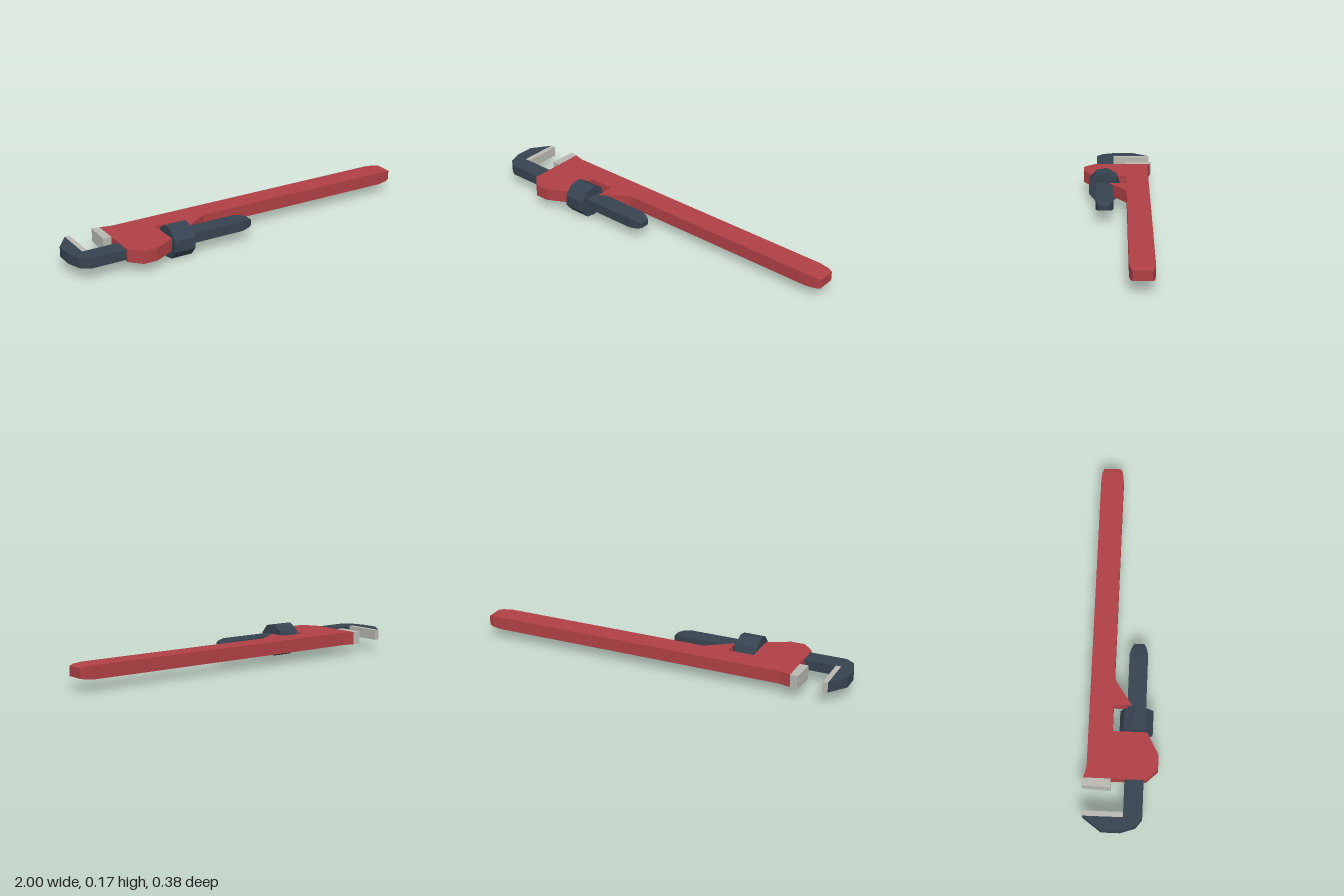
import * as THREE from 'three';

const material = (name, color) => {
  const m = new THREE.MeshStandardMaterial({ color, flatShading: true });
  m.name = name;
  return m;
};

// Flat plate from an [x, z] outline, between heights y0 and y1
function plate(points, y0, y1) {
  const shape = new THREE.Shape(points.map(([x, z]) => new THREE.Vector2(x, -z)));
  const geo = new THREE.ExtrudeGeometry(shape, { depth: y1 - y0, bevelEnabled: false });
  return geo.rotateX(-Math.PI / 2).translate(0, y0, 0);
}

// Tapering bar through rectangular sections [x, zMin, zMax, yMin, yMax]
function taperedBar(sections) {
  const n = sections.length - 1;
  const geo = new THREE.BoxGeometry(n, 1, 1, n, 1, 1);
  const p = geo.attributes.position;
  for (let i = 0; i < p.count; i++) {
    const [x, z0, z1, y0, y1] = sections[Math.round(p.getX(i) + n / 2)];
    p.setXYZ(i, x, p.getY(i) > 0 ? y1 : y0, p.getZ(i) > 0 ? z1 : z0);
  }
  geo.computeVertexNormals();
  return geo;
}

export function createModel() {
  const red = material('red paint', 0xb04045);
  const dark = material('dark steel', 0x364350);
  const grey = material('bare steel', 0xb8b8b0);
  const wrench = new THREE.Group();
  wrench.name = 'pipeWrench';
  const add = (name, geo, mat) => {
    const mesh = new THREE.Mesh(geo, mat);
    mesh.name = name;
    wrench.add(mesh);
    return mesh;
  };

  // Head, knurl slot and straight handle
  add('body', plate([
    [-0.737, -0.185], [-0.68, -0.17], [0.92, -0.17], [0.92, -0.047],
    [-0.21, -0.047], [-0.35, 0.046], [-0.35, -0.047], [-0.49, -0.047],
    [-0.49, 0.128], [-0.605, 0.19], [-0.68, 0.19], [-0.737, 0.13],
  ], 0.058, 0.126), red);

  // Tapered handle end
  add('handleTip', taperedBar([
    [0.92, -0.17, -0.047, 0.058, 0.126],
    [0.975, -0.165, -0.054, 0.062, 0.122],
    [1.0, -0.155, -0.064, 0.067, 0.117],
  ]), red);

  // Fixed tooth plate, its underside dropping towards the throat
  const tooth = plate([
    [-0.777, -0.191], [-0.737, -0.185], [-0.737, -0.047], [-0.783, -0.047],
  ], 0.058, 0.126);
  const p = tooth.attributes.position;
  for (let i = 0; i < p.count; i++) {
    if (p.getY(i) < 0.09) p.setY(i, 0.058 - 0.009 * (p.getZ(i) + 0.191) / 0.144);
  }
  tooth.computeVertexNormals();
  add('fixedTooth', tooth, grey);

  // Hooked sliding jaw with its shank
  add('hookJaw', plate([
    [-1, -0.085], [-0.93, -0.18], [-0.93, 0.023], [-0.07, 0.023],
    [-0.07, 0.119], [-0.93, 0.119], [-0.975, 0.085], [-1, 0.01],
  ], 0.066, 0.12), dark);
  add('shankTip', taperedBar([
    [-0.07, 0.023, 0.119, 0.066, 0.12],
    [-0.03, 0.034, 0.109, 0.071, 0.114],
    [-0.007, 0.047, 0.097, 0.078, 0.106],
  ]), dark);
  add('hookTooth', plate([
    [-0.93, -0.183], [-0.903, -0.183], [-0.903, 0.023], [-0.93, 0.023],
  ], 0.066, 0.12), grey);

  // Nine-sided adjusting nut, one corner towards the handle
  const nut = new THREE.CylinderGeometry(0.0875, 0.0875, 0.116, 9);
  nut.rotateY(Math.PI).rotateZ(Math.PI / 2).translate(-0.431, 0.0875, 0.075);
  add('adjustingNut', nut, dark);

  return wrench;
}
